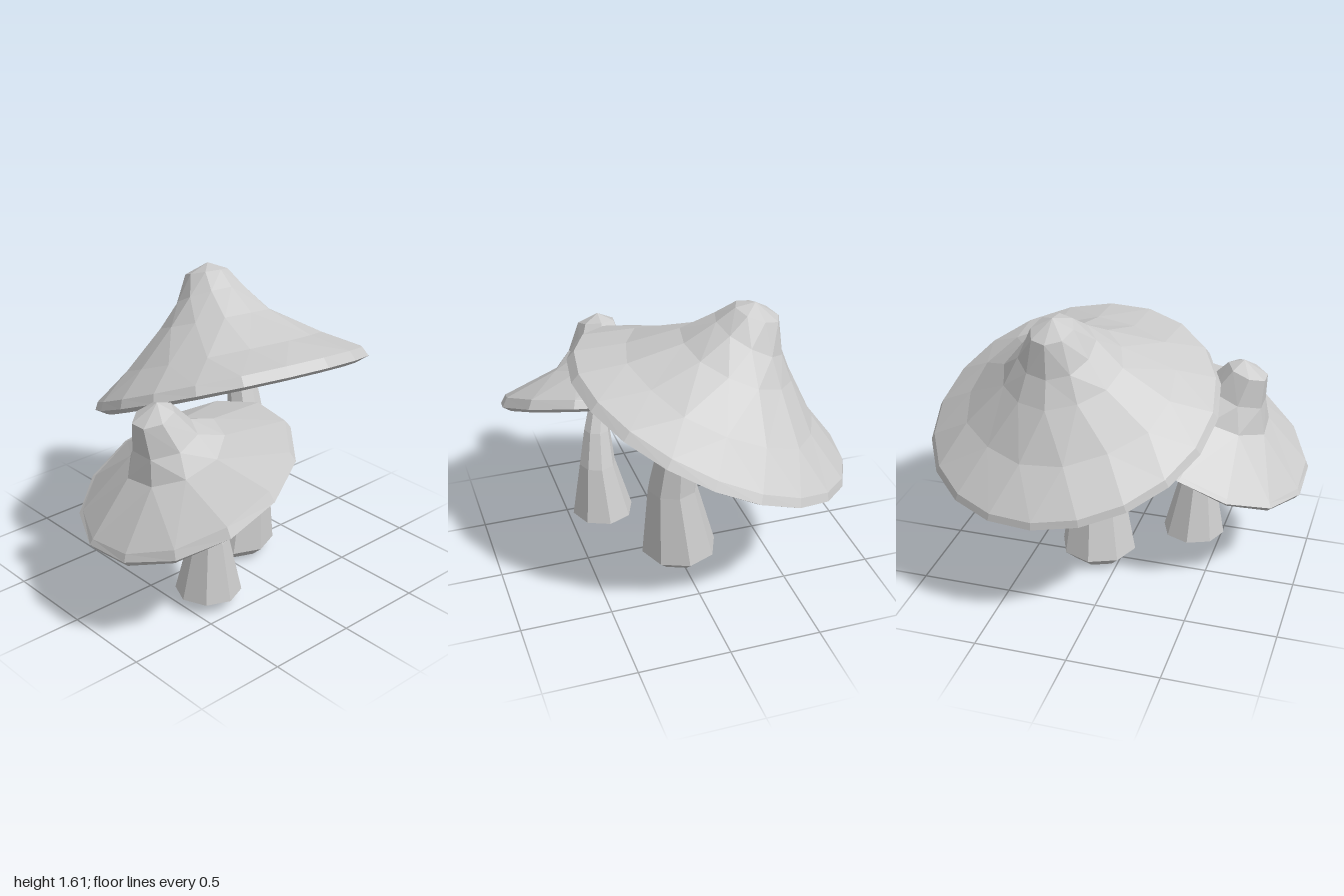
import * as THREE from 'three';

const material = new THREE.MeshStandardMaterial({ color: 0xcccccc, flatShading: true });

// Tilted elliptical ring with n corners: a and b are opposite ends, v is the half axis across them
function ring(n, a, b, v, wobble = 0) {
  const A = new THREE.Vector3(...a), B = new THREE.Vector3(...b), V = new THREE.Vector3(...v);
  const mid = A.clone().add(B).multiplyScalar(0.5);
  const U = B.clone().sub(A).multiplyScalar(0.5);
  return Array.from({ length: n }, (_, i) => {
    const t = (i / n) * Math.PI * 2;
    const k = 1 + wobble * Math.sin(i * 2.4 + n);
    return mid.clone().addScaledVector(U, Math.cos(t) * k).addScaledVector(V, Math.sin(t) * k);
  });
}
const point = (x, y, z) => [new THREE.Vector3(x, y, z)];

// Skin a list of rings (top first); neighbouring rings may have different corner counts
function loft(name, rings) {
  const pos = [];
  const tri = (...pts) => pts.forEach((p) => pos.push(p.x, p.y, p.z));
  for (let r = 0; r < rings.length - 1; r++) {
    const A = rings[r], B = rings[r + 1], na = A.length, nb = B.length;
    let i = 0, j = 0;
    while (i < na || j < nb) {
      const a = A[i % na], b = B[j % nb];
      if (j >= nb || (i < na && (i + 1) / na <= (j + 1) / nb)) {
        i++;
        if (na > 1) tri(a, A[i % na], b);
      } else {
        j++;
        if (nb > 1) tri(a, B[j % nb], b);
      }
    }
  }
  const g = new THREE.BufferGeometry();
  g.setAttribute('position', new THREE.Float32BufferAttribute(pos, 3));
  g.computeVertexNormals();
  const mesh = new THREE.Mesh(g, material);
  mesh.name = name;
  return mesh;
}

// Stem from [x, y, z, radius] sections, top first, closed at both ends
function stem(name, sections, sides) {
  const rings = sections.map(([x, y, z, r]) => ring(sides, [x - r, y, z], [x + r, y, z], [0, 0, r]));
  const [tx, ty, tz] = sections[0], [bx, by, bz] = sections[sections.length - 1];
  return loft(name, [point(tx, ty, tz), ...rings, point(bx, by, bz)]);
}

export function createModel() {
  const group = new THREE.Group();
  group.name = 'mushrooms';

  // Large cap: tall off-centre peak, flared brim, rolled rim and hollow underside
  const Z = -0.22;
  group.add(loft('largeCap', [
    point(-0.37, 1.605, -0.25),
    ring(8, [-0.5, 1.51, -0.25], [-0.26, 1.59, -0.25], [0, 0.01, 0.115]),
    ring(10, [-0.52, 1.33, -0.24], [-0.16, 1.52, -0.24], [0, 0.02, 0.2], 0.02),
    ring(12, [-0.57, 1.19, -0.23], [0.01, 1.42, -0.23], [0, 0.03, 0.32], 0.02),
    ring(15, [-0.69, 0.93, Z], [0.3, 1.345, Z], [0, 0.05, 0.56], 0.02),
    ring(20, [-0.86, 0.7, Z], [0.56, 1.33, Z], [0, 0.07, 0.76]),
    ring(20, [-0.865, 0.66, Z], [0.6, 1.285, Z], [0, 0.07, 0.785]),
    ring(20, [-0.8, 0.635, Z], [0.53, 1.235, Z], [0, 0.07, 0.72]),
    ring(15, [-0.58, 0.88, Z], [0.22, 1.2, Z], [0, 0.05, 0.46], 0.02),
    ring(10, [-0.46, 1.15, Z], [-0.03, 1.32, Z], [0, 0.02, 0.22]),
    point(-0.3, 1.42, -0.24),
  ]));

  // Small cap: tilted towards the front, with a stubby peak
  group.add(loft('smallCap', [
    point(0.24, 1.225, 0.62),
    ring(7, [0.24, 1.13, 0.755], [0.24, 1.2, 0.535], [0.105, 0, 0]),
    ring(7, [0.25, 0.97, 0.75], [0.26, 1.08, 0.42], [0.165, 0, 0]),
    ring(9, [0.26, 0.83, 0.77], [0.27, 1.04, 0.28], [0.26, 0.02, 0], 0.03),
    ring(13, [0.27, 0.55, 0.985], [0.27, 1.035, -0.04], [0.56, 0.07, 0]),
    ring(13, [0.27, 0.515, 1.0], [0.27, 1.005, -0.07], [0.59, 0.05, 0]),
    ring(13, [0.27, 0.48, 0.97], [0.27, 0.965, -0.03], [0.54, 0.05, 0]),
    ring(9, [0.27, 0.69, 0.79], [0.27, 0.95, 0.19], [0.32, 0.03, 0], 0.03),
    ring(7, [0.25, 0.88, 0.67], [0.25, 0.99, 0.45], [0.12, 0.01, 0]),
    point(0.24, 1.08, 0.6),
  ]));

  // Curved stems, swelling towards a rounded foot
  group.add(stem('largeStem', [
    [-0.22, 1.4, -0.23, 0.05],
    [-0.12, 1.22, -0.22, 0.075],
    [-0.03, 1.0, -0.2, 0.085],
    [0.03, 0.8, -0.185, 0.1],
    [0.045, 0.5, -0.15, 0.14],
    [0, 0.075, -0.13, 0.215],
    [0, 0.015, -0.13, 0.15],
    [0, 0, -0.13, 0.03],
  ], 8));
  group.add(stem('smallStem', [
    [0.24, 1.02, 0.57, 0.04],
    [0.28, 0.77, 0.475, 0.055],
    [0.32, 0.6, 0.41, 0.075],
    [0.335, 0.4, 0.365, 0.105],
    [0.315, 0.075, 0.355, 0.178],
    [0.315, 0.035, 0.355, 0.11],
  ], 8));
  return group;
}
